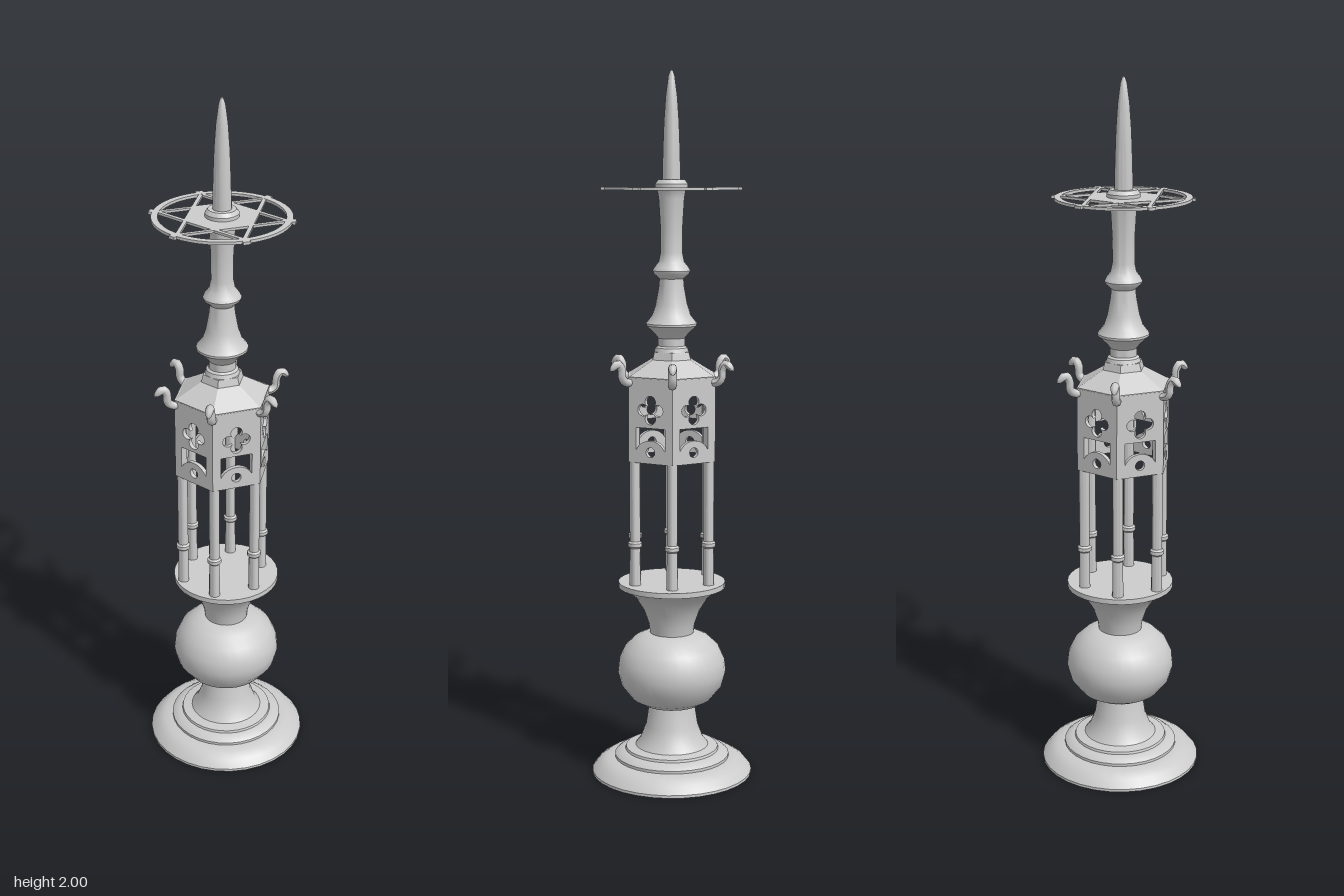
import * as THREE from 'three';
import { toCreasedNormals } from 'three/addons/utils/BufferGeometryUtils.js';

const material = new THREE.MeshStandardMaterial({ color: 0xcccccc });

function add(parent, name, geometry) {
  const mesh = new THREE.Mesh(geometry, material);
  mesh.name = name;
  parent.add(mesh);
  return mesh;
}

// Turned part from [radius, height] pairs, listed bottom to top
function turned(points, segments = 32) {
  const lathe = new THREE.LatheGeometry(points.map(([r, y]) => new THREE.Vector2(r, y)), segments);
  return toCreasedNormals(lathe, 0.6);
}

// Six-sided solid with corners on the x axis
function hexagon(topRadius, bottomRadius, height, y) {
  const geometry = new THREE.CylinderGeometry(topRadius, bottomRadius, height, 6, 1, false, Math.PI / 6);
  return toCreasedNormals(geometry.translate(0, y, 0), 0.3);
}

// Lantern wall with quatrefoil, arched slot and round hole
function panelGeometry() {
  const w = 0.07, depth = 0.012;
  const shape = new THREE.Shape([[-w, 0.92], [w, 0.92], [w, 1.16], [-w, 1.16]].map(p => new THREE.Vector2(...p)));

  const foil = new THREE.Path(), d = 0.0234;
  for (let k = 0; k < 4; k++) {
    const a = k * Math.PI / 2;
    foil.absarc(d * Math.cos(a), 1.07 + d * Math.sin(a), d / Math.SQRT2, a - 2.356, a + 2.356, false);
  }

  const slot = new THREE.Path();
  slot.moveTo(-0.046, 1.02);
  slot.lineTo(-0.046, 0.957);
  slot.quadraticCurveTo(-0.03, 0.985, 0, 0.985);
  slot.quadraticCurveTo(0.03, 0.985, 0.046, 0.957);
  slot.lineTo(0.046, 1.02);
  slot.closePath();

  const eye = new THREE.Path();
  eye.absarc(0, 0.952, 0.014, 0, Math.PI * 2, false);
  shape.holes.push(foil, slot, eye);
  return new THREE.ExtrudeGeometry(shape, { depth, bevelEnabled: false, curveSegments: 8 })
    .translate(0, 0, 0.121 - depth);
}

// Curled bracket with a drooping, tapered head
function crocketGeometry() {
  const curve = new THREE.CatmullRomCurve3([
    [0.11, 1.155], [0.14, 1.143], [0.158, 1.155], [0.161, 1.182], [0.173, 1.197], [0.197, 1.178],
  ].map(([x, y]) => new THREE.Vector3(x, y, 0)));
  const rows = 20, sides = 8;
  const geometry = new THREE.TubeGeometry(curve, rows, 0.012, sides);
  const pos = geometry.attributes.position, v = new THREE.Vector3();
  for (let i = 0; i < pos.count; i++) {
    const t = Math.floor(i / (sides + 1)) / rows;
    const c = curve.getPointAt(t);
    const s = t > 0.75 ? Math.sqrt(Math.max(0, 1 - ((t - 0.75) / 0.25) ** 2)) : 1;
    v.fromBufferAttribute(pos, i).sub(c).multiplyScalar(s).add(c);
    pos.setXYZ(i, v.x, v.y, v.z);
  }
  geometry.computeVertexNormals();
  return geometry;
}

export function createModel() {
  const model = new THREE.Group();
  model.name = 'candlestick';

  // Stepped foot, ball knop and flared dish
  add(model, 'foot', turned([
    [0, 0.025], [0.12, 0.018], [0.231, 0], [0.231, 0.008], [0.213, 0.03], [0.19, 0.044], [0.165, 0.046],
    [0.165, 0.054], [0.15, 0.066], [0.135, 0.068], [0.133, 0.075], [0.105, 0.08],
    [0.09, 0.1], [0.075, 0.14], [0.066, 0.2],
  ]));
  add(model, 'knop', turned([
    [0.06, 0.2], [0.085, 0.205], [0.115, 0.222], [0.145, 0.26], [0.156, 0.3],
    [0.152, 0.335], [0.135, 0.372], [0.105, 0.4], [0.075, 0.413], [0.055, 0.415],
  ]));
  add(model, 'dish', turned([
    [0.062, 0.41], [0.066, 0.44], [0.08, 0.48], [0.105, 0.52], [0.135, 0.545],
    [0.153, 0.55], [0.153, 0.565], [0, 0.565],
  ]));

  // The upper work stands slightly off the foot's axis
  const upper = new THREE.Group();
  upper.name = 'upperWork';
  upper.position.set(-0.005, 0, 0.01);
  model.add(upper);

  const column = turned([
    [0.016, 0.56], [0.015, 0.672], [0.02, 0.677], [0.02, 0.687], [0.015, 0.692], [0.015, 1.15],
  ], 12);
  const panel = panelGeometry();
  const crocket = crocketGeometry();
  for (let k = 0; k < 6; k++) {
    const a = k * Math.PI / 3;
    add(upper, 'column', column).position.set(0.12 * Math.cos(a), 0, 0.12 * Math.sin(a));
    add(upper, 'lanternPanel', panel).rotation.y = a;
    add(upper, 'crocket', crocket).rotation.y = a;
  }
  add(upper, 'lanternRoof', hexagon(0.062, 0.14, 0.045, 1.18));
  add(upper, 'roofCap', hexagon(0.056, 0.062, 0.022, 1.213));

  // Stem above the lantern
  add(upper, 'stem', turned([
    [0.05, 1.22], [0.045, 1.235], [0.038, 1.24], [0.038, 1.262], [0.048, 1.275], [0.072, 1.297], [0.072, 1.303],
    [0.055, 1.325], [0.045, 1.355], [0.036, 1.405], [0.034, 1.428], [0.05, 1.442], [0.053, 1.45],
    [0.048, 1.46], [0.036, 1.475], [0.031, 1.5], [0.031, 1.57], [0.036, 1.65], [0.04, 1.672],
    [0.046, 1.68], [0.046, 1.69], [0.038, 1.701], [0, 1.701],
  ], 24));
  add(upper, 'pricket', turned([
    [0.026, 1.695], [0.024, 1.78], [0.021, 1.86], [0.016, 1.93], [0.009, 1.982], [0.004, 1.997], [0, 2],
  ], 16));

  // Drip tray: pierced ring around a six-pointed lattice
  const tray = new THREE.Group();
  tray.name = 'tray';
  tray.position.y = 1.677;
  upper.add(tray);
  const ringShape = new THREE.Shape().absarc(0, 0, 0.188, 0, Math.PI * 2, false);
  ringShape.holes.push(new THREE.Path().absarc(0, 0, 0.17, 0, Math.PI * 2, true));
  const ring = new THREE.ExtrudeGeometry(ringShape, { depth: 0.008, bevelEnabled: false, curveSegments: 24 });
  add(tray, 'trayRing', ring.rotateX(-Math.PI / 2).translate(0, -0.004, 0));
  add(tray, 'trayPlate', hexagon(0.107, 0.107, 0.007, 0));
  const bar = new THREE.BoxGeometry(0.312, 0.007, 0.011).translate(0, 0, 0.0875);
  const tab = new THREE.BoxGeometry(0.02, 0.008, 0.027).translate(0, 0, 0.1835);
  for (let k = 0; k < 6; k++) {
    add(tray, 'trayBar', bar).rotation.y = k * Math.PI / 3;
    add(tray, 'trayTab', tab).rotation.y = k * Math.PI / 3;
  }
  return model;
}
